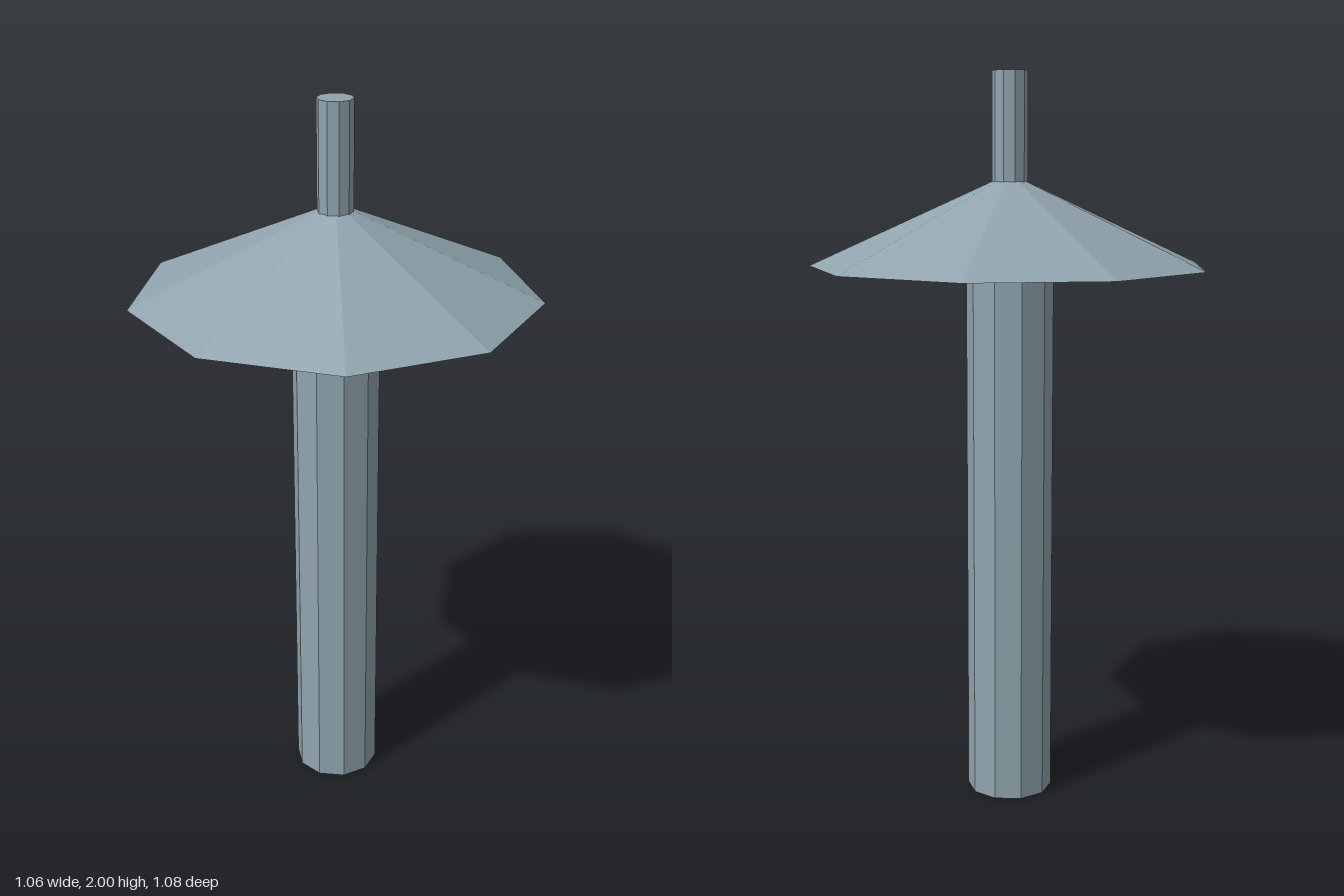
import * as THREE from 'three';

export function createModel() {
  const model = new THREE.Group();
  const steel = new THREE.MeshStandardMaterial({ color: 0x90a4ae });
  steel.name = 'blueGreySteel';
  steel.flatShading = true;

  const axisX = -0.018; // shared axis of all parts

  // Faceted round part between two heights, with a corner towards +x
  function addRound(name, topRadius, bottomRadius, y0, y1, sides) {
    const geometry = new THREE.CylinderGeometry(
      topRadius, bottomRadius, y1 - y0, sides, 1, false, Math.PI / 2);
    const mesh = new THREE.Mesh(geometry, steel);
    mesh.name = name;
    mesh.position.set(axisX, (y0 + y1) / 2, 0);
    model.add(mesh);
  }

  addRound('shaft', 0.118, 0.118, 0, 1.485, 10);
  addRound('conicalCap', 0, 0.546, 1.485, 1.733, 9);
  addRound('topRod', 0.048, 0.048, 1.6, 2, 10);

  return model;
}
